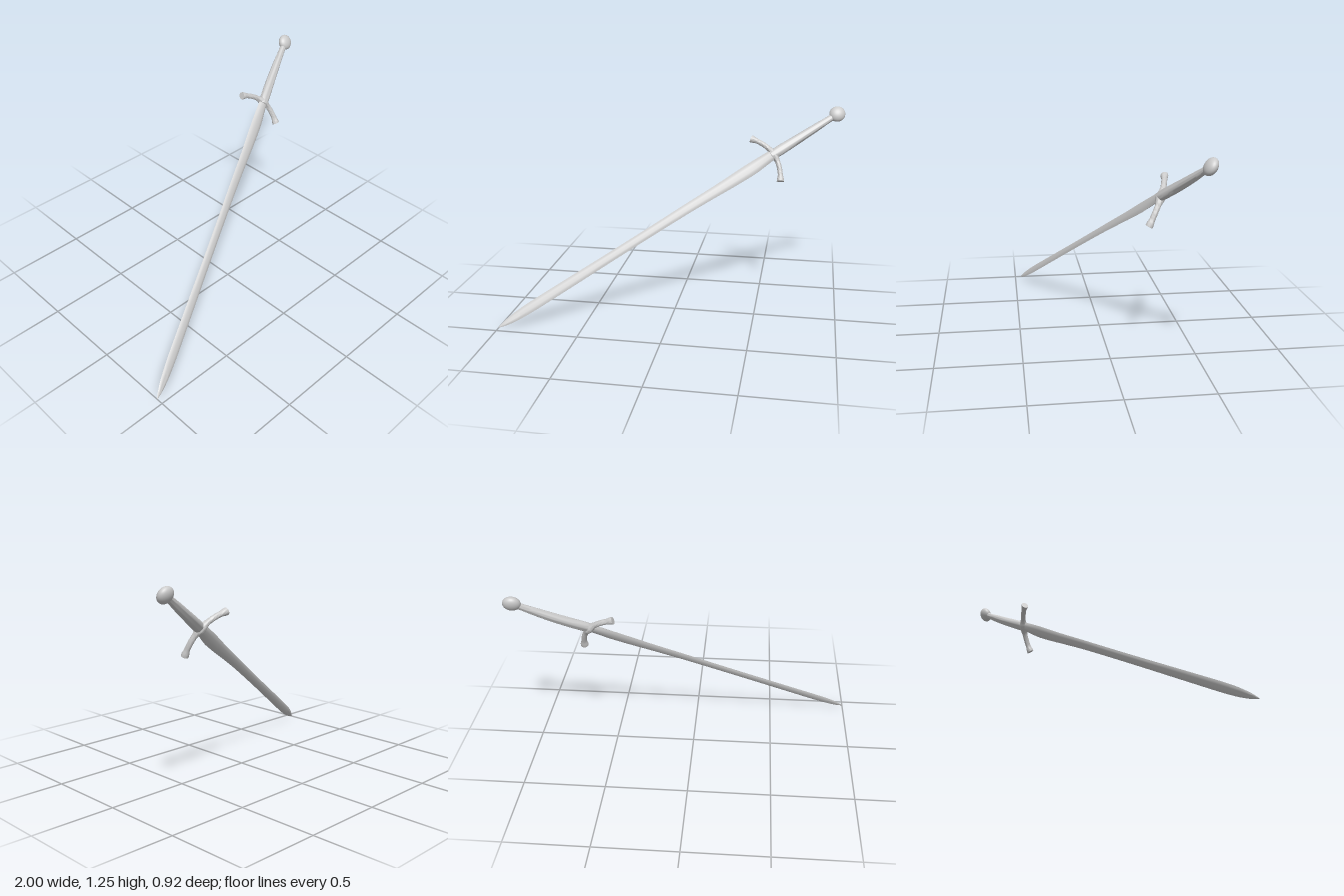
import * as THREE from 'three';
import { toCreasedNormals } from 'three/addons/utils/BufferGeometryUtils.js';

const material = new THREE.MeshStandardMaterial({ color: 0xcccccc });
const { smoothstep } = THREE.MathUtils;

// Unit cross-sections, counter-clockwise about the direction of travel
const round = Array.from({ length: 24 }, (_, i) => {
  const a = (i / 24) * Math.PI * 2;
  return [Math.cos(a), Math.sin(a)];
});
const bladeSection = [[1, 0], [0.75, 0.6], [0.35, 1], [-0.35, 1], [-0.75, 0.6],
  [-1, 0], [-0.75, -0.6], [-0.35, -1], [0.35, -1], [0.75, -0.6]];

// Skin a row of sections { x, y, z, angle, a, b }: a = half width, b = half depth
function loft(name, outline, sections, crease) {
  const n = outline.length, pos = [], index = [];
  const all = [{ ...sections[0], a: 0, b: 0 }, ...sections, { ...sections.at(-1), a: 0, b: 0 }];
  for (const s of all) {
    for (const [u, v] of outline) {
      pos.push(s.x - Math.sin(s.angle) * u * s.a, s.y + Math.cos(s.angle) * u * s.a, s.z + v * s.b);
    }
  }
  for (let i = 0; i < all.length - 1; i++) {
    for (let j = 0; j < n; j++) {
      const k = (j + 1) % n, p = i * n, q = p + n;
      if (i > 0) index.push(p + j, p + k, q + j);
      if (i < all.length - 2) index.push(p + k, q + k, q + j);
    }
  }
  const geo = new THREE.BufferGeometry();
  geo.setAttribute('position', new THREE.Float32BufferAttribute(pos, 3));
  geo.setIndex(index);
  const mesh = new THREE.Mesh(toCreasedNormals(geo, crease), material);
  mesh.name = name;
  return mesh;
}

// Smooth profile through [distance, half width, half depth] keys;
// shiftY and shiftZ give the sideways drift of its centre line
function profile(keys, steps, shiftY, shiftZ) {
  const curve = new THREE.CatmullRomCurve3(keys.map(k => new THREE.Vector3(...k)), false, 'centripetal');
  return curve.getPoints(steps).map(p => ({
    x: p.x, y: shiftY(p.x), z: shiftZ(p.x), angle: 0, a: Math.max(p.y, 0), b: Math.max(p.z, 0),
  }));
}

export function createModel() {
  const model = new THREE.Group();
  model.name = 'sword';

  // Local frame: x runs from tip to pommel, y across the blade, z out of its flat
  const sword = new THREE.Group();
  sword.name = 'swordParts';

  // Blade: leaf-shaped tip, its lower edge swelling ahead of the guard
  sword.add(loft('blade', bladeSection, profile([
    [0, 0.002, 0.001], [0.04, 0.014, 0.005], [0.12, 0.026, 0.007], [0.22, 0.031, 0.008],
    [0.45, 0.031, 0.008], [0.9, 0.029, 0.008], [1.25, 0.03, 0.008], [1.55, 0.034, 0.009],
    [1.72, 0.039, 0.011], [1.83, 0.04, 0.012], [1.92, 0.035, 0.014], [2.0, 0.03, 0.016],
  ], 60, x => -0.005 * smoothstep(x, 1.3, 1.7) * (1 - smoothstep(x, 1.8, 1.98)), () => 0), 0.5));

  // Grip: bowed slightly backwards
  sword.add(loft('grip', round, profile([
    [1.965, 0.026, 0.023], [2.01, 0.032, 0.025], [2.1, 0.031, 0.026], [2.2, 0.028, 0.025],
    [2.3, 0.025, 0.022], [2.38, 0.021, 0.018], [2.44, 0.02, 0.017],
  ], 30, () => 0, x => -0.006 * Math.sin(Math.PI * (x - 1.965) / 0.475)), 0.9));

  // Crossguard: arms sweep towards the tip and flare at their ends
  const guard = [], span = 0.165;
  for (let i = 0; i <= 40; i++) {
    const s = -1 + i / 20, r = Math.abs(s);
    const flare = smoothstep(r, 0.78, 0.97);
    const swell = 1 - smoothstep(r, 0, 0.35);
    guard.push({
      x: 1.983 - 0.06 * s * s, y: span * s, z: -0.006 - 0.01 * s * s - 0.005 * s,
      angle: Math.atan2(span, -0.12 * s),
      a: 0.0155 + 0.007 * flare + 0.008 * swell,
      b: 0.0165 + 0.005 * flare + 0.012 * swell,
    });
  }
  sword.add(loft('crossguard', round, guard, 0.9));

  // Flattened round pommel
  const pommel = new THREE.Mesh(new THREE.SphereGeometry(0.05, 32, 20), material);
  pommel.name = 'pommel';
  pommel.scale.set(1, 0.97, 0.64);
  pommel.position.x = 2.455;
  sword.add(pommel);

  // Lean the sword on its tip
  const along = new THREE.Vector3(1.95, 1.2, -0.885).normalize();
  const across = new THREE.Vector3(-0.59, 0.73, -0.34);
  across.addScaledVector(along, -across.dot(along)).normalize();
  const out = along.clone().cross(across);
  sword.quaternion.setFromRotationMatrix(new THREE.Matrix4().makeBasis(along, across, out));
  sword.position.set(-1, 0.003, 0.459);
  model.add(sword);
  return model;
}
